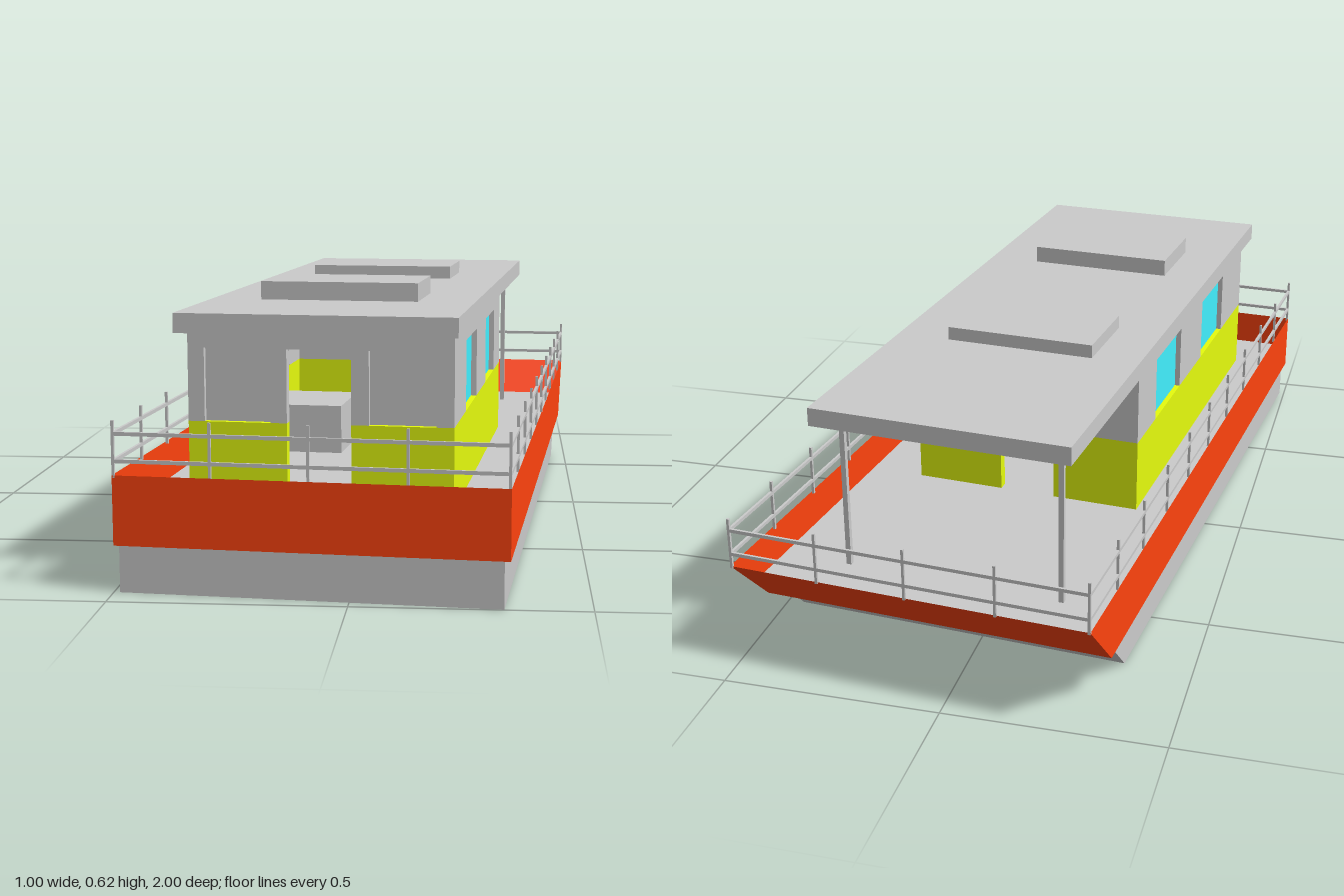
import * as THREE from 'three';

const mat = (color) => new THREE.MeshStandardMaterial({ color, side: THREE.DoubleSide });
const grey = mat(0xcccccc), orange = mat(0xff430e), lime = mat(0xe6fc0e), cyan = mat(0x42f0ff);

// Main levels and the cabin footprint
const DECK = 0.16, SILL = 0.34, HEAD = 0.5, EAVES = 0.535, T = 0.025;
const CAB = { x0: -0.297, x1: 0.281, z0: -0.245, z1: 0.8 };
const HW = 0.4165, HL = 0.967;

function add(parent, name, geometry, material) {
  const mesh = new THREE.Mesh(geometry, material);
  mesh.name = name;
  parent.add(mesh);
  return mesh;
}

// Box given by its limits on each axis
function box(parent, name, material, x0, x1, y0, y1, z0, z1) {
  const mesh = add(parent, name, new THREE.BoxGeometry(x1 - x0, y1 - y0, z1 - z0), material);
  mesh.position.set((x0 + x1) / 2, (y0 + y1) / 2, (z0 + z1) / 2);
  return mesh;
}

// Hull section with a raked bow: two rings of four corners
function hullSection(hw, y0, y1, back0, back1, closedTop) {
  const ring = (y, back) => [hw, y, HL, hw, y, back, -hw, y, back, -hw, y, HL];
  const index = [0, 3, 2, 0, 2, 1];
  for (let i = 0; i < 4; i++) {
    const j = (i + 1) % 4;
    index.push(i, j, j + 4, i, j + 4, i + 4);
  }
  if (closedTop) index.push(4, 5, 6, 4, 6, 7);
  const g = new THREE.BufferGeometry();
  g.setAttribute('position', new THREE.Float32BufferAttribute([...ring(y0, back0), ...ring(y1, back1)], 3));
  g.setIndex(index);
  const flat = g.toNonIndexed();
  flat.computeVertexNormals();
  return flat;
}

// Wall along local x, from z = -T to the outer face z = 0.
// Windows notch the upper half, doors cut both halves.
function wall(name, a, b, windows, doors, glass) {
  const g = new THREE.Group();
  g.name = name;
  const openings = [...windows, ...doors].sort((p, q) => p[0] - q[0]);
  const shape = new THREE.Shape();
  shape.moveTo(a, SILL);
  for (const [p, q] of openings) {
    shape.lineTo(p, SILL);
    shape.lineTo(p, HEAD);
    shape.lineTo(q, HEAD);
    shape.lineTo(q, SILL);
  }
  shape.lineTo(b, SILL);
  shape.lineTo(b, EAVES);
  shape.lineTo(a, EAVES);
  const upper = add(g, 'upperWall', new THREE.ExtrudeGeometry(shape, { depth: T, bevelEnabled: false }), grey);
  upper.position.z = -T;
  let start = a;
  for (const [p, q] of [...doors, [b, b]]) {
    box(g, 'lowerWall', lime, start, p, DECK, SILL, -T, 0);
    start = q;
  }
  for (const [p, q] of windows) box(g, 'windowPane', glass, p, q, SILL, HEAD, -0.018, -0.013);
  return g;
}

function buildCabin() {
  const cabin = new THREE.Group();
  cabin.name = 'cabin';
  const door = [-0.08, 0.06];

  const front = wall('frontWall', CAB.x0 + T, CAB.x1 - T, [[-0.261, -0.116], [0.098, 0.243]], [door], grey);
  front.position.z = CAB.z1;
  const back = wall('backWall', CAB.x0 + T, CAB.x1 - T, [], [door], grey);
  back.position.z = CAB.z0 + T;

  // Side walls, turned so that their outer faces point outwards
  const panes = [[-0.09, 0.136], [0.352, 0.578]];
  const mirrored = panes.map(([p, q]) => [-q, -p]).reverse();
  const left = wall('leftWall', -CAB.z1, -CAB.z0, mirrored, [], cyan);
  left.rotation.y = Math.PI / 2;
  left.position.x = CAB.x1;
  const right = wall('rightWall', CAB.z0, CAB.z1, panes, [], cyan);
  right.rotation.y = -Math.PI / 2;
  right.position.x = CAB.x0;

  cabin.add(front, back, left, right);
  box(cabin, 'bench', grey, CAB.x0 + T, -0.075, DECK, 0.28, -0.03, 0.2);
  return cabin;
}

function buildRoof() {
  const roof = new THREE.Group();
  roof.name = 'roof';
  box(roof, 'roofSlab', grey, -0.317, 0.293, EAVES, 0.578, -0.8, 0.84);
  box(roof, 'frontHatch', grey, -0.2, 0.164, 0.578, 0.62, 0.308, 0.522);
  box(roof, 'rearHatch', grey, -0.202, 0.162, 0.578, 0.61, -0.318, -0.105);
  for (const x of [-0.27, 0.25]) {
    box(roof, 'roofPost', grey, x - 0.006, x + 0.006, DECK, EAVES, -0.729, -0.717);
  }
  return roof;
}

function buildRailing() {
  const railing = new THREE.Group();
  railing.name = 'railing';
  const r = 0.003, X = HW - r, Z = HL - r;
  const post = (x, z) => box(railing, 'railPost', grey, x - r, x + r, 0.245, 0.366, z - r, z + r);
  for (const s of [-1, 1]) {
    for (let i = 0; i <= 10; i++) post(s * X, -Z + (2 * Z * i) / 10);
    for (let i = 1; i < 4; i++) post(-X + (2 * X * i) / 4, s * Z);
    for (const y of [0.28, 0.338]) {
      box(railing, 'sideRail', grey, s * X - r, s * X + r, y - 0.004, y + 0.004, -Z, Z);
      box(railing, 'endRail', grey, -X, X, y - 0.004, y + 0.004, s * Z - r, s * Z + r);
    }
  }
  return railing;
}

export function createModel() {
  const model = new THREE.Group();
  model.name = 'houseboat';
  const boat = new THREE.Group();
  boat.name = 'boat';
  boat.rotation.y = -THREE.MathUtils.degToRad(5);
  model.add(boat);

  // Hull: closed lower float, open upper shell, and a deck set into it
  add(boat, 'lowerHull', hullSection(0.404, 0, 0.1, -0.678, -0.778, true), grey);
  add(boat, 'upperHull', hullSection(HW, 0.1, 0.25, -0.817, -HL, false), orange);
  box(boat, 'deck', grey, -HW + 0.001, HW - 0.001, DECK - 0.004, DECK, -0.873, HL - 0.001);

  boat.add(buildCabin(), buildRoof(), buildRailing());
  return model;
}
